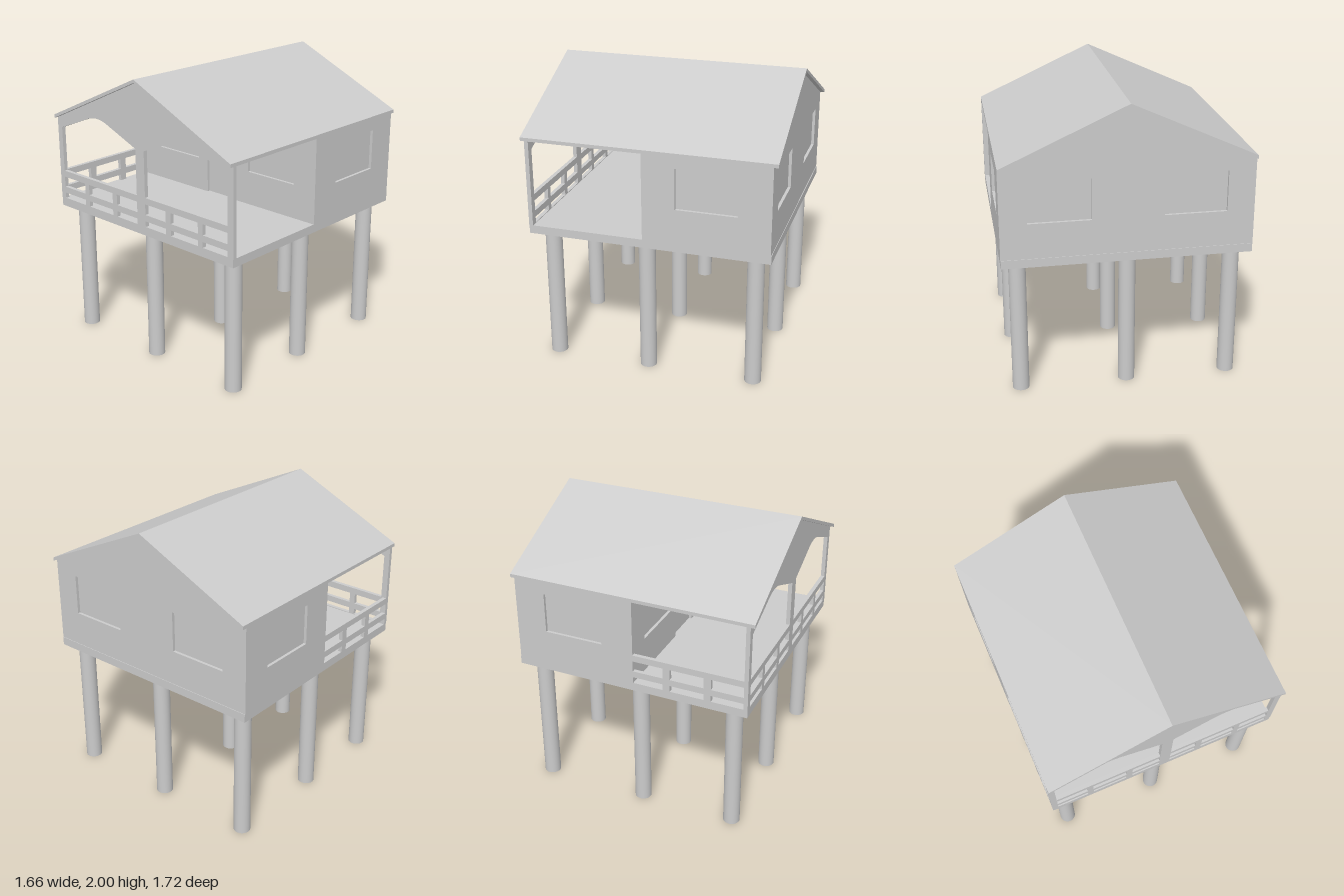
import * as THREE from 'three';

const HALF = 0.832, FLOOR = 1.0, EAVE = 1.597, RIDGE = 1.977, ROOF = 0.024;
const WALL = 0.03, PANE = 0.01;
const HOUSE_FRONT = 0.03, HOUSE_BACK = -0.826;
const WIN_Y = [1.24, 1.52];
const material = new THREE.MeshStandardMaterial({ color: 0xcccccc });

function add(parent, name, geometry, x = 0, y = 0, z = 0) {
  const mesh = new THREE.Mesh(geometry, material);
  mesh.name = name;
  mesh.position.set(x, y, z);
  parent.add(mesh);
  return mesh;
}

// Box given by its minimum and maximum on each axis
function block(parent, name, [x0, x1], [y0, y1], [z0, z1]) {
  return add(parent, name, new THREE.BoxGeometry(x1 - x0, y1 - y0, z1 - z0),
    (x0 + x1) / 2, (y0 + y1) / 2, (z0 + z1) / 2);
}

const polygon = (points) => new THREE.Shape(points.map(([x, y]) => new THREE.Vector2(x, y)));
const rect = ([x0, x1], [y0, y1]) => polygon([[x0, y0], [x1, y0], [x1, y1], [x0, y1]]);
const extrude = (shape, depth) =>
  new THREE.ExtrudeGeometry(shape, { depth, bevelEnabled: false, curveSegments: 10 });

// Pentagon wall outline; an optional doorway is notched out of its base
function gable(door) {
  const notch = door ? [[door[0], FLOOR], [door[0], door[2]], [door[1], door[2]], [door[1], FLOOR]] : [];
  return polygon([[-HALF, FLOOR], ...notch, [HALF, FLOOR], [HALF, EAVE], [0, RIDGE], [-HALF, EAVE]]);
}

// Porch opening with a low, rounded peak
function archOpening(x0, x1) {
  const c = (x0 + x1) / 2, r = 0.09;
  const s = new THREE.Shape();
  s.moveTo(x0, 1.21);
  s.lineTo(x1, 1.21);
  s.lineTo(x1, 1.53);
  s.lineTo(c + r, 1.645);
  s.quadraticCurveTo(c, 1.677, c - r, 1.645);
  s.lineTo(x0, 1.53);
  s.closePath();
  return s;
}

export function createModel() {
  const model = new THREE.Group();
  model.name = 'stiltHouse';

  // Stilts
  const stilts = new THREE.Group();
  stilts.name = 'stilts';
  model.add(stilts);
  const stilt = new THREE.CylinderGeometry(0.057, 0.057, 0.945, 32);
  for (const x of [-0.72, -0.01, 0.72])
    for (const z of [0.705, 0.033, -0.71]) add(stilts, 'stilt', stilt, x, 0.4725, z);

  // Floor slab
  block(model, 'floor', [-0.83, 0.83], [0.942, FLOOR], [-0.83, 0.83]);

  // Roof
  const roof = polygon([[-HALF, EAVE], [0, RIDGE], [HALF, EAVE],
    [HALF, EAVE + ROOF], [0, RIDGE + ROOF - 0.001], [-HALF, EAVE + ROOF]]);
  add(model, 'roof', extrude(roof, 1.715), 0, 0, -0.856);

  // Porch front: gable, arched openings and railing cut from one panel
  const porch = gable();
  porch.holes.push(archOpening(-0.79, -0.032), archOpening(0.047, 0.785));
  const bays = [[-0.79, -0.567], [-0.525, -0.278], [-0.235, -0.032],
    [0.047, 0.24], [0.285, 0.53], [0.572, 0.785]];
  for (const bay of bays) porch.holes.push(rect(bay, [1.005, 1.045]), rect(bay, [1.09, 1.165]));
  add(model, 'porchFront', extrude(porch, 0.028), 0, 0, 0.803);

  // Side railing, on the model's right only
  const railing = new THREE.Group();
  railing.name = 'sideRailing';
  model.add(railing);
  const railX = [-HALF, -0.804];
  for (const y of [[1.045, 1.09], [1.165, 1.21]])
    block(railing, 'rail', railX, y, [HOUSE_FRONT, 0.803]);
  for (const z of [0.243, 0.53]) {
    block(railing, 'baluster', railX, [FLOOR, 1.045], [z, z + 0.05]);
    block(railing, 'baluster', railX, [1.09, 1.165], [z, z + 0.05]);
  }

  // House walls with window openings
  const house = new THREE.Group();
  house.name = 'house';
  model.add(house);
  const windows = [[-0.65, -0.235], [0.24, 0.655]];
  const door = [-0.15, 0.13, 1.57];
  const front = gable(door), back = gable();
  for (const w of windows) {
    front.holes.push(rect(w, WIN_Y));
    back.holes.push(rect(w, WIN_Y));
  }
  add(house, 'frontWall', extrude(front, WALL), 0, 0, HOUSE_FRONT - WALL);
  add(house, 'backWall', extrude(back, WALL), 0, 0, HOUSE_BACK);

  // Recessed panes and door in the front and back walls
  const frontZ = [HOUSE_FRONT - WALL, HOUSE_FRONT - WALL + PANE];
  const backZ = [HOUSE_BACK + WALL - PANE, HOUSE_BACK + WALL];
  for (const w of windows) {
    block(house, 'frontWindow', w, WIN_Y, frontZ);
    block(house, 'backWindow', w, WIN_Y, backZ);
  }
  block(house, 'door', [door[0], door[1]], [FLOOR, door[2]], frontZ);

  // Side walls and their panes, mirrored
  const z0 = HOUSE_BACK + WALL, z1 = HOUSE_FRONT - WALL;
  const sideWindow = [-0.61, -0.195];
  const side = rect([-z1, -z0], [FLOOR, EAVE + 0.005]);
  side.holes.push(rect([-sideWindow[1], -sideWindow[0]], WIN_Y));
  const sideGeometry = extrude(side, WALL).rotateY(Math.PI / 2);
  for (const s of [-1, 1]) {
    add(house, 'sideWall', sideGeometry, s > 0 ? HALF - WALL : -HALF);
    const inner = s * (HALF - WALL), outer = s * (HALF - WALL + PANE);
    block(house, 'sideWindow', [Math.min(inner, outer), Math.max(inner, outer)], WIN_Y, sideWindow);
  }

  return model;
}
